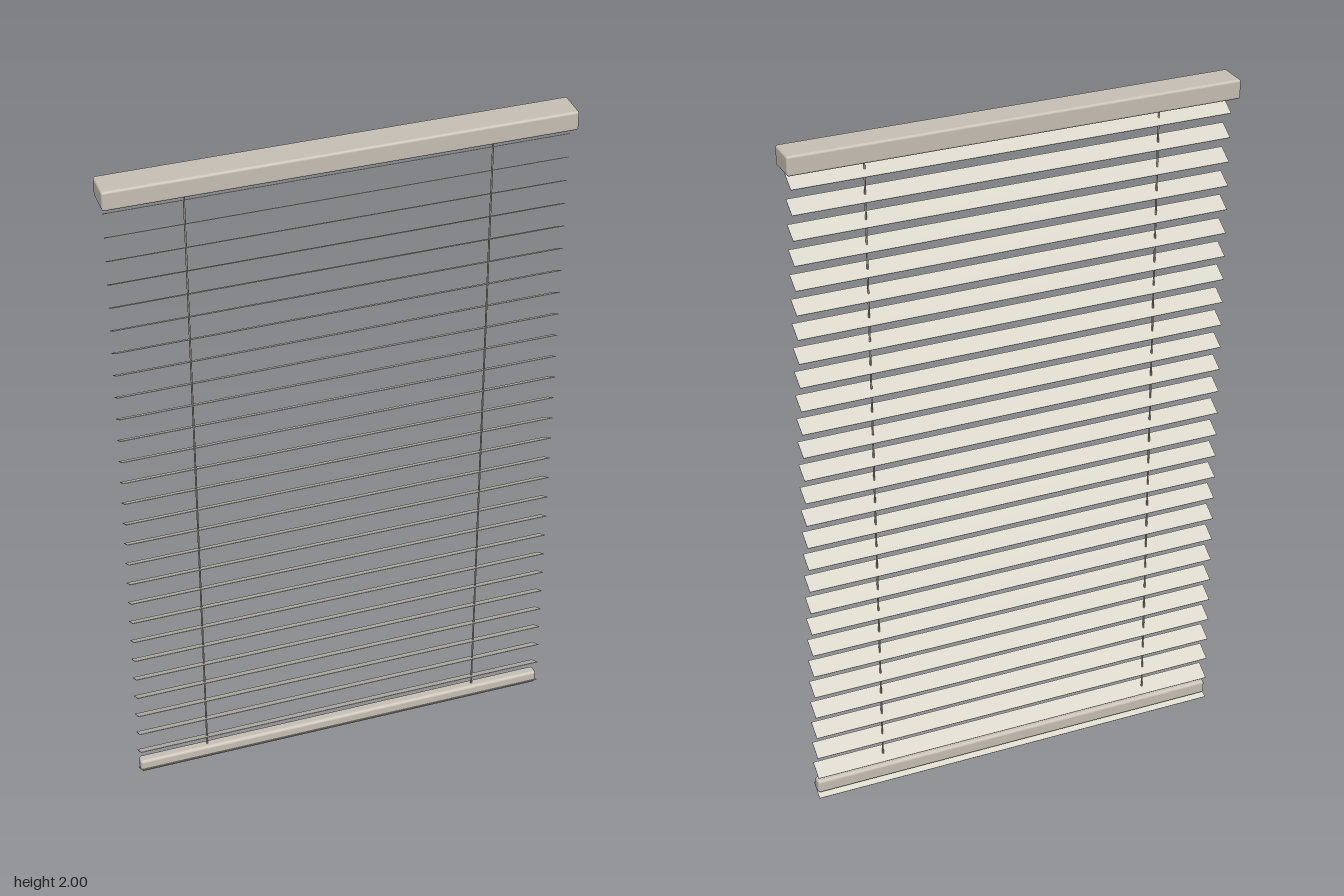
import * as THREE from 'three';
import { RoundedBoxGeometry } from 'three/addons/geometries/RoundedBoxGeometry.js';

const material = (name, color) => {
  const m = new THREE.MeshStandardMaterial({ color });
  m.name = name;
  return m;
};

export function createModel() {
  const blind = new THREE.Group();
  blind.name = 'venetianBlind';

  const railMat = material('warm grey rail', 0xc8c1b6);
  const slatMat = material('pale slat', 0xd8d4c8);
  const cordMat = material('cord', 0xb4aea4);

  const add = (name, geometry, mat, x, y, z, parent = blind) => {
    const mesh = new THREE.Mesh(geometry, mat);
    mesh.name = name;
    mesh.position.set(x, y, z);
    parent.add(mesh);
    return mesh;
  };

  // Head rail and bottom rail with softened edges
  add('headRail', new RoundedBoxGeometry(1.27, 0.055, 0.088, 3, 0.007), railMat, 0, 1.9725, 0);
  add('bottomRail', new RoundedBoxGeometry(1.24, 0.042, 0.032, 3, 0.009), railMat, 0, 0.034, 0);

  // Tilted slats, front edge high; the lowest one runs through the bottom rail
  const slats = new THREE.Group();
  slats.name = 'slats';
  blind.add(slats);
  const slatGeometry = new THREE.BoxGeometry(1.24, 0.002, 0.052);
  const count = 28;
  const lowest = 0.0147;
  const pitch = 0.0703;
  for (let i = 0; i < count; i++) {
    const slat = add('slat', slatGeometry, slatMat, 0, lowest + i * pitch, 0, slats);
    slat.rotation.x = THREE.MathUtils.degToRad(-32);
  }

  // Lift cords
  const cordGeometry = new THREE.CylinderGeometry(0.0025, 0.0025, 1.91, 10);
  for (const side of [-1, 1]) {
    add(side < 0 ? 'rightCord' : 'leftCord', cordGeometry, cordMat, side * 0.415, 1, 0);
  }

  return blind;
}
